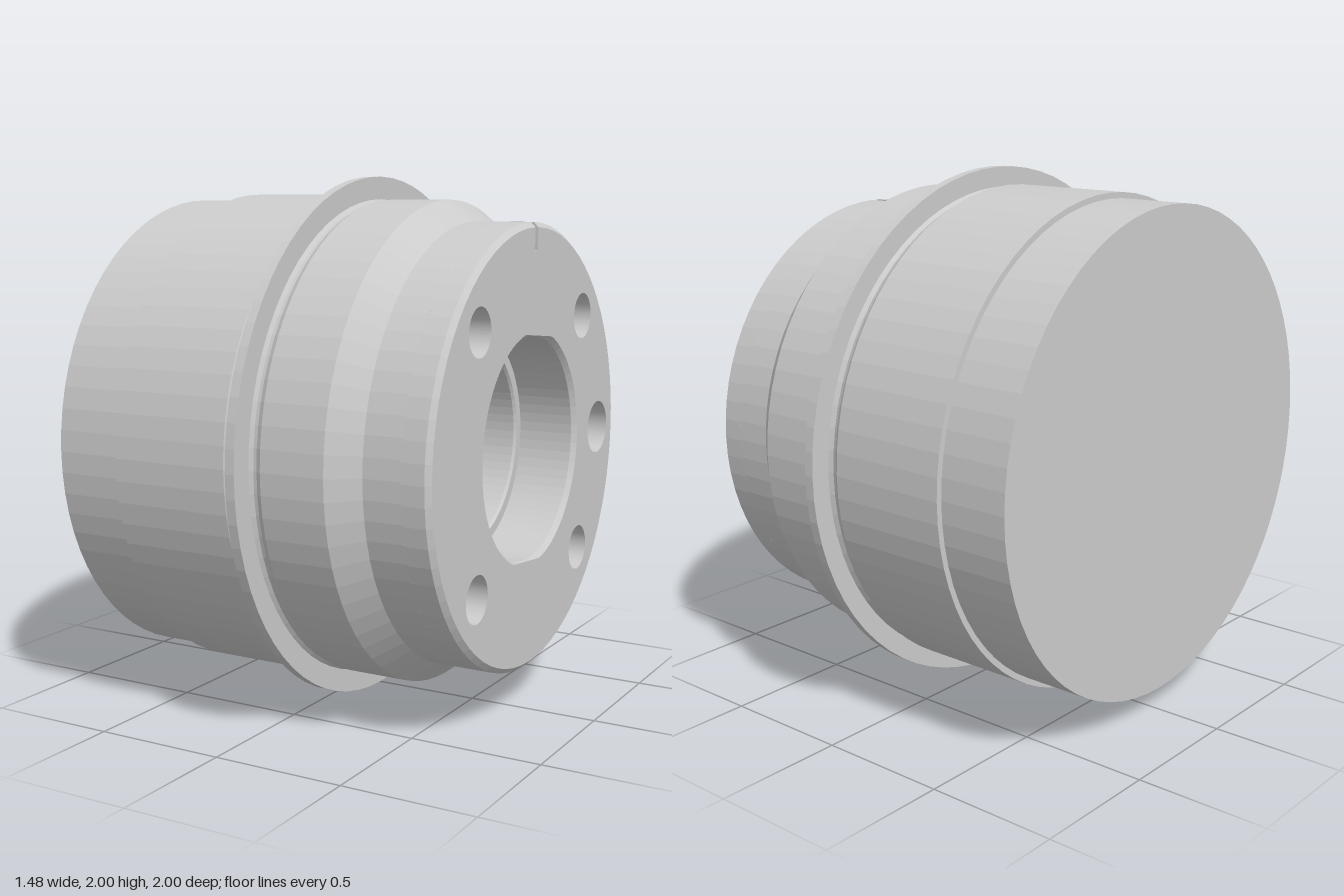
import * as THREE from 'three';

const SEG = 72;
const material = new THREE.MeshStandardMaterial({ color: 0xcccccc, flatShading: true });

// Revolves [x, radius] points about the x axis
function turned(name, points, segments = SEG) {
  const geo = new THREE.LatheGeometry(points.map(([x, r]) => new THREE.Vector2(r, x)), segments);
  geo.rotateZ(-Math.PI / 2);
  const mesh = new THREE.Mesh(geo, material);
  mesh.name = name;
  return mesh;
}

export function createModel() {
  const group = new THREE.Group();
  const hub = new THREE.Group();
  hub.name = 'hub';
  hub.position.y = 1;
  group.add(hub);

  const plateX = 0.63, chamferX = 0.717, faceX = 0.735;
  const rim = 0.832, bore = 0.418, half = 0.013;

  // Closed back, stepped barrel, thin flange with relief grooves, cone and neck
  hub.add(turned('body', [
    [-0.74, 0], [-0.74, 0.913], [-0.47, 0.913], [-0.47, 0.935],
    [0.0, 0.935], [0.02, 0.922], [0.035, 0.917], [0.053, 0.925],
    [0.053, 1], [0.09, 1], [0.09, 0.915], [0.102, 0.903], [0.115, 0.903], [0.135, 0.913],
    [0.385, 0.913], [0.487, rim], [plateX, rim],
  ]));

  // Stepped bore with a blind centre hole
  hub.add(turned('bore', [
    [plateX, bore], [0.5, bore], [0.5, 0.38], [0.49, 0.372], [0.335, 0.372],
    [0.335, 0.167], [0.2, 0.167], [0.2, 0],
  ]));

  // Front plate outline with the alignment notch at the top
  const a = Math.asin(half / rim);
  const shape = new THREE.Shape();
  shape.absarc(0, 0, rim, Math.PI / 2 + a, Math.PI * 2.5 - a, false);
  shape.lineTo(half, 0.73);
  shape.lineTo(-half, 0.73);
  shape.closePath();

  const addHole = (x, y, r) => {
    const path = new THREE.Path();
    path.absarc(x, y, r, 0, Math.PI * 2, true);
    shape.holes.push(path);
  };
  addHole(0, 0, bore);

  // Four bolt holes and one larger hole, each [z, y, radius]
  const bolts = [[-0.655, 0, 0.105]];
  for (const z of [-0.465, 0.465]) for (const y of [-0.465, 0.465]) bolts.push([z, y, 0.088]);
  for (const [z, y, r] of bolts) {
    addHole(-z, y, r);
    const well = turned('boltHole', [[plateX, r], [0.44, r], [0.44, 0]], SEG);
    well.position.set(0, y, z);
    hub.add(well);
  }

  const geo = new THREE.ExtrudeGeometry(shape, {
    depth: 1, steps: 2, bevelEnabled: false, curveSegments: SEG / 2,
  });
  // Place the three layers and chamfer the outer rim and the bore mouth
  const pos = geo.attributes.position;
  for (let i = 0; i < pos.count; i++) {
    const x = pos.getX(i), y = pos.getY(i), layer = Math.round(pos.getZ(i) * 2);
    const r = Math.hypot(x, y);
    let k = 1;
    if (layer === 2 && r > 0.8) k = 0.813 / r;
    if (layer === 2 && r < bore + 0.002) k = 0.436 / r;
    pos.setXYZ(i, x * k, y * k, [plateX, chamferX, faceX][layer]);
  }
  geo.rotateY(Math.PI / 2);
  geo.computeVertexNormals();
  const plate = new THREE.Mesh(geo, material);
  plate.name = 'frontPlate';
  hub.add(plate);

  // Inner end of the notch
  const end = new THREE.Mesh(new THREE.PlaneGeometry(half * 2, rim - 0.73), material);
  end.name = 'notchEnd';
  end.rotation.y = Math.PI / 2;
  end.position.set(plateX, (rim + 0.73) / 2, 0);
  hub.add(end);

  return group;
}
